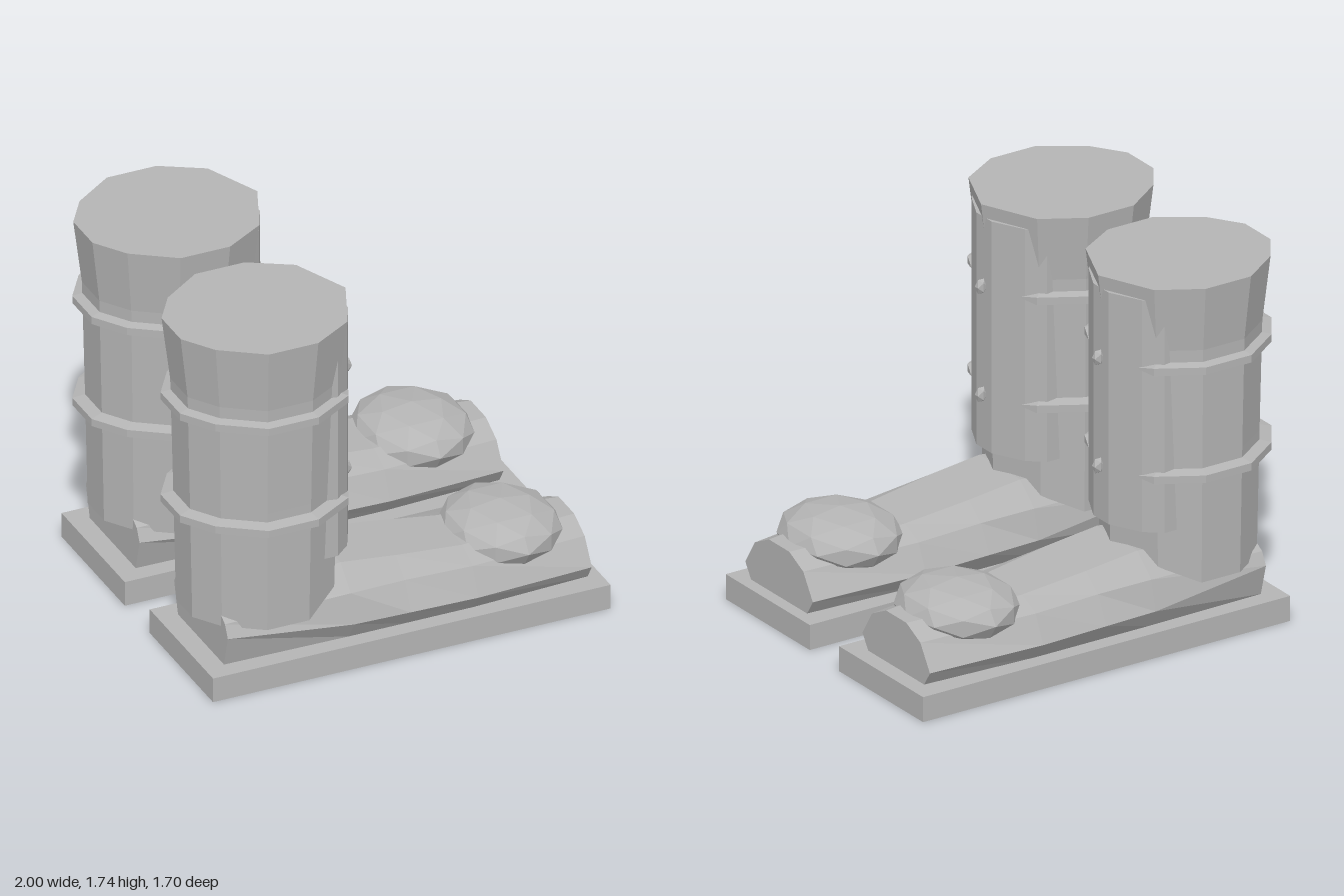
import * as THREE from 'three';

const grey = new THREE.MeshStandardMaterial({ color: 0xb4b4b4 });
grey.name = 'grey';

// Faceted skin over a row of equal-length rings, with both ends capped.
// Rings run counter-clockwise around the direction of travel.
function loft(rings) {
  const pos = [];
  const tri = (a, b, c) => pos.push(...a, ...b, ...c);
  const n = rings[0].length;
  for (let k = 0; k < rings.length - 1; k++) {
    for (let i = 0; i < n; i++) {
      const j = (i + 1) % n;
      const [a, b, c, d] = [rings[k][i], rings[k][j], rings[k + 1][j], rings[k + 1][i]];
      tri(a, b, c);
      tri(a, c, d);
    }
  }
  const first = rings[0], last = rings[rings.length - 1];
  for (let i = 1; i < n - 1; i++) {
    tri(first[0], first[i + 1], first[i]);
    tri(last[0], last[i], last[i + 1]);
  }
  const g = new THREE.BufferGeometry();
  g.setAttribute('position', new THREE.Float32BufferAttribute(pos, 3));
  g.computeVertexNormals();
  return g;
}

function add(group, name, geometry, x = 0, y = 0, z = 0) {
  const mesh = new THREE.Mesh(geometry, grey);
  mesh.name = name;
  mesh.position.set(x, y, z);
  group.add(mesh);
}

// Faceted ellipsoid
function pebble(rx, ry, rz, detail) {
  const g = new THREE.IcosahedronGeometry(1, detail).scale(rx, ry, rz);
  g.computeVertexNormals();
  return g;
}

const LEG_X = -0.575;

// Leg outline: pointed at the shin, flat at the calf
const half = [[0.31, 0.27], [0.115, 0.385], [-0.125, 0.385], [-0.32, 0.25], [-0.42, 0.1]];
const outline = [
  [0.425, 0],
  ...half.map(([x, z]) => [x, -z]),
  ...half.slice().reverse(),
];

function shaftGeometry() {
  const levels = [[0.3, 0.85], [0.9, 0.88], [1.43, 0.91], [1.74, 1]];
  return loft(levels.map(([y, s], k) => outline.map(([x, z]) => {
    const lift = k === 0 ? Math.max(0, x - 0.15) * 0.5 : 0; // hem rises over the instep
    return [x * s, y + lift, z * s];
  })));
}

// Upright shin guard
function panelGeometry() {
  const section = [
    [0.41, 0.06], [0.41, -0.06], [0.335, -0.21], [0.26, -0.275],
    [0.15, -0.275], [0.15, 0.275], [0.26, 0.275], [0.335, 0.21],
  ];
  return loft([0.56, 1.675].map((y) => section.map(([x, z]) => [x, y, z])));
}

// Strap round the calf, tapering to a point on each side of the shin guard
function strapGeometry() {
  const path = [[0.345, 0.2], ...half, ...half.slice().reverse().map(([x, z]) => [x, -z]), [0.345, -0.2]];
  return loft(path.map(([x, z], i) => {
    const tip = i === 0 || i === path.length - 1;
    const inner = tip ? 0.96 : 0.84, outer = tip ? 1.0 : 1.01;
    const hIn = tip ? 0.008 : 0.034, hOut = tip ? 0.005 : 0.018;
    return [
      [x * inner, -hIn, z * inner], [x * outer, -hOut, z * outer],
      [x * outer, hOut, z * outer], [x * inner, hIn, z * inner],
    ];
  }));
}

// Foot: cross-sections from heel to toe
function footGeometry() {
  // x, base half-width, widest half-width and height, shoulder, top
  const stations = [
    [-0.85, 0.24, 0.28, 0.27, 0.25, 0.33, 0.15, 0.39],
    [-0.25, 0.25, 0.305, 0.21, 0.27, 0.35, 0.16, 0.45],
    [0.02, 0.25, 0.315, 0.21, 0.25, 0.34, 0.16, 0.42],
    [0.35, 0.25, 0.31, 0.2, 0.25, 0.33, 0.14, 0.38],
    [0.92, 0.22, 0.265, 0.19, 0.19, 0.31, 0.08, 0.365],
  ];
  return loft(stations.map(([x, b, w, yw, s, ys, t, yt]) => {
    const side = [[t, yt], [s, ys], [w, yw], [b, 0.12]];
    return [
      ...side.map(([z, y]) => [x, y, z]),
      ...side.reverse().map(([z, y]) => [x, y, -z]),
    ];
  }));
}

function makeBoot(name, soleFront) {
  const boot = new THREE.Group();
  boot.name = name;
  const soleLength = soleFront + 0.945;
  add(boot, 'sole', new THREE.BoxGeometry(soleLength, 0.12, 0.66), soleFront - soleLength / 2, 0.06, 0);
  add(boot, 'foot', footGeometry());
  add(boot, 'toeCap', pebble(0.27, 0.13, 0.305, 1), 0.6, 0.35, -0.005);
  add(boot, 'shaft', shaftGeometry(), LEG_X);
  add(boot, 'shinGuard', panelGeometry(), LEG_X);
  for (const y of [0.825, 1.345]) {
    add(boot, 'strap', strapGeometry(), LEG_X, y);
    add(boot, 'stud', pebble(0.03, 0.04, 0.024, 0), -0.15, y, 0);
  }
  return boot;
}

export function createModel() {
  const model = new THREE.Group();
  model.name = 'boots';
  const near = makeBoot('nearBoot', 0.98);
  near.position.z = 0.46;
  const far = makeBoot('farBoot', 1.0);
  far.position.z = -0.46;
  model.add(near, far);
  return model;
}
